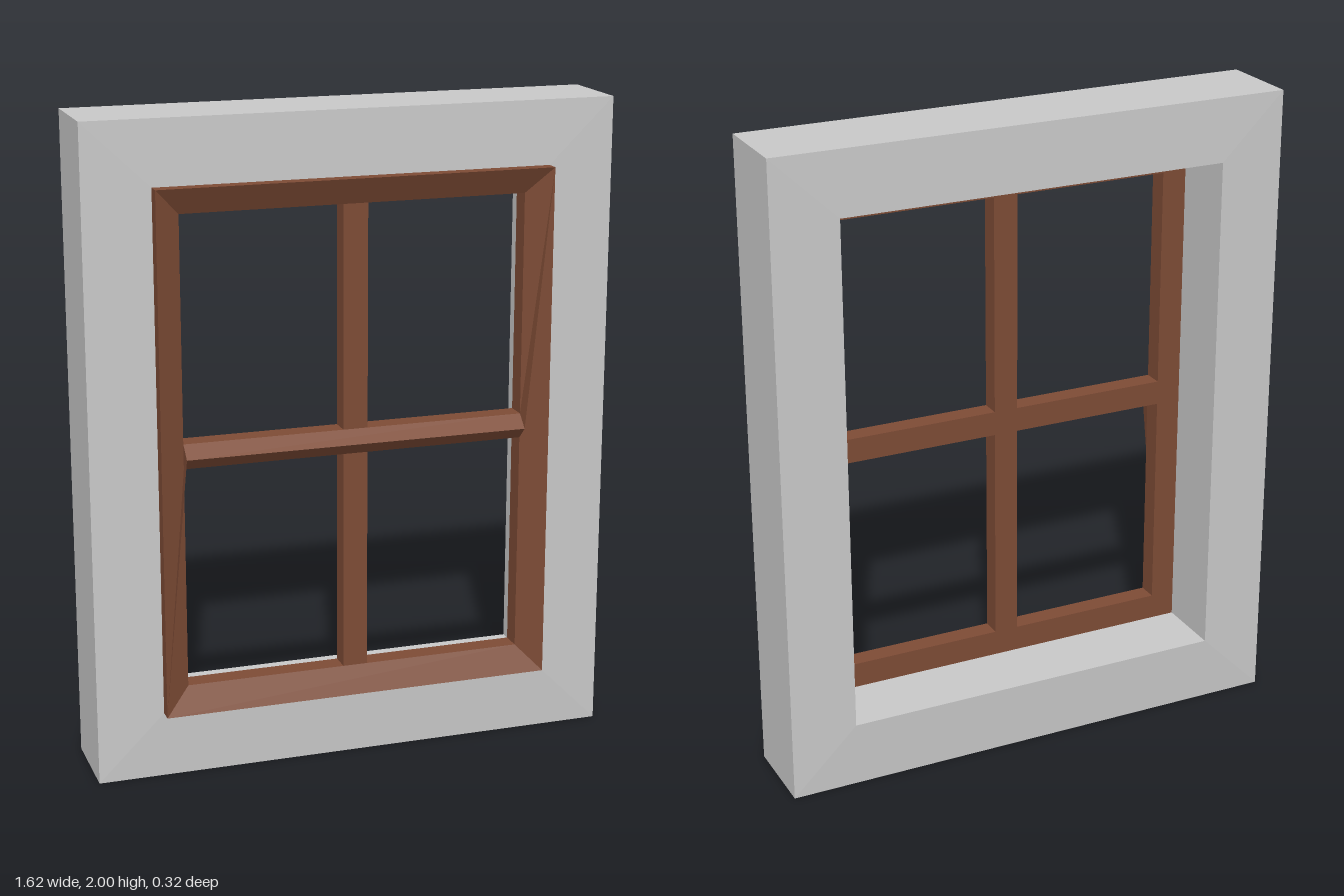
import * as THREE from 'three';

const wall = new THREE.MeshStandardMaterial({ color: 0xc8c8c8 });
wall.name = 'plasterGrey';
const wood = new THREE.MeshStandardMaterial({ color: 0x7d4b35, side: THREE.DoubleSide });
wood.name = 'brownWood';

const CY = 1.005; // height of the window centre

function facetedMesh(name, positions, material) {
  const g = new THREE.BufferGeometry();
  g.setAttribute('position', new THREE.Float32BufferAttribute(positions, 3));
  g.computeVertexNormals();
  const mesh = new THREE.Mesh(g, material);
  mesh.name = name;
  return mesh;
}

// Mitred rectangular ring: section is a closed loop of [halfWidth, halfHeight, z, centreY]
function mitredRing(name, section, material) {
  const corners = [[1, 1], [-1, 1], [-1, -1], [1, -1]];
  const at = ([w, h, z, cy], k) => [corners[k][0] * w, cy + corners[k][1] * h, z];
  const out = [];
  section.forEach((p, i) => {
    const q = section[(i + 1) % section.length];
    for (let k = 0; k < 4; k++) {
      const n = (k + 1) % 4;
      const a = at(p, k), b = at(p, n), c = at(q, n), d = at(q, k);
      out.push(...a, ...b, ...c, ...a, ...c, ...d);
    }
  });
  return facetedMesh(name, out, material);
}

export function createModel() {
  const group = new THREE.Group();
  group.name = 'window';

  // Wall surround with slightly raised inner edges
  group.add(mitredRing('wallSurround', [
    [0.81, 1, -0.155, 1],
    [0.81, 1, 0.113, 1],
    [0.607, 0.8, 0.119, CY],
    [0.607, 0.8, -0.162, CY],
  ], wall));

  // Wooden frame, its front sloping in towards the opening
  const back = 0.055, inner = 0.118, front = 0.162, ridge = 0.158;
  group.add(mitredRing('windowFrame', [
    [0.607, 0.8, back, CY],
    [0.607, 0.8, front, CY],
    [0.53, 0.72, inner, CY],
    [0.53, 0.72, back, CY],
  ], wood));

  // Vertical glazing bar
  const mullion = new THREE.Mesh(new THREE.BoxGeometry(0.076, 1.44, inner - back), wood);
  mullion.name = 'verticalBar';
  mullion.position.set(0, CY, (inner + back) / 2);
  group.add(mullion);

  // Horizontal bar with a pointed front; profile drawn in (-z, y), turned to run along x
  const profile = new THREE.Shape([
    [-back, -0.038], [-back, 0.038], [-inner, 0.038], [-ridge, 0], [-inner, -0.038],
  ].map(([x, y]) => new THREE.Vector2(x, y)));
  const barGeo = new THREE.ExtrudeGeometry(profile, { depth: 1.06, bevelEnabled: false });
  barGeo.rotateY(Math.PI / 2);
  barGeo.translate(-0.53, CY, 0);
  const bar = new THREE.Mesh(barGeo, wood);
  bar.name = 'horizontalBar';
  group.add(bar);

  // Thin webs joining the bar ends to opposite frame corners
  for (const s of [1, -1]) {
    group.add(facetedMesh(s > 0 ? 'leftWeb' : 'rightWeb', [
      s * 0.607, CY + s * 0.8, front,
      s * 0.53, CY + s * 0.038, inner,
      s * 0.53, CY, ridge,
    ], wood));
  }
  return group;
}
